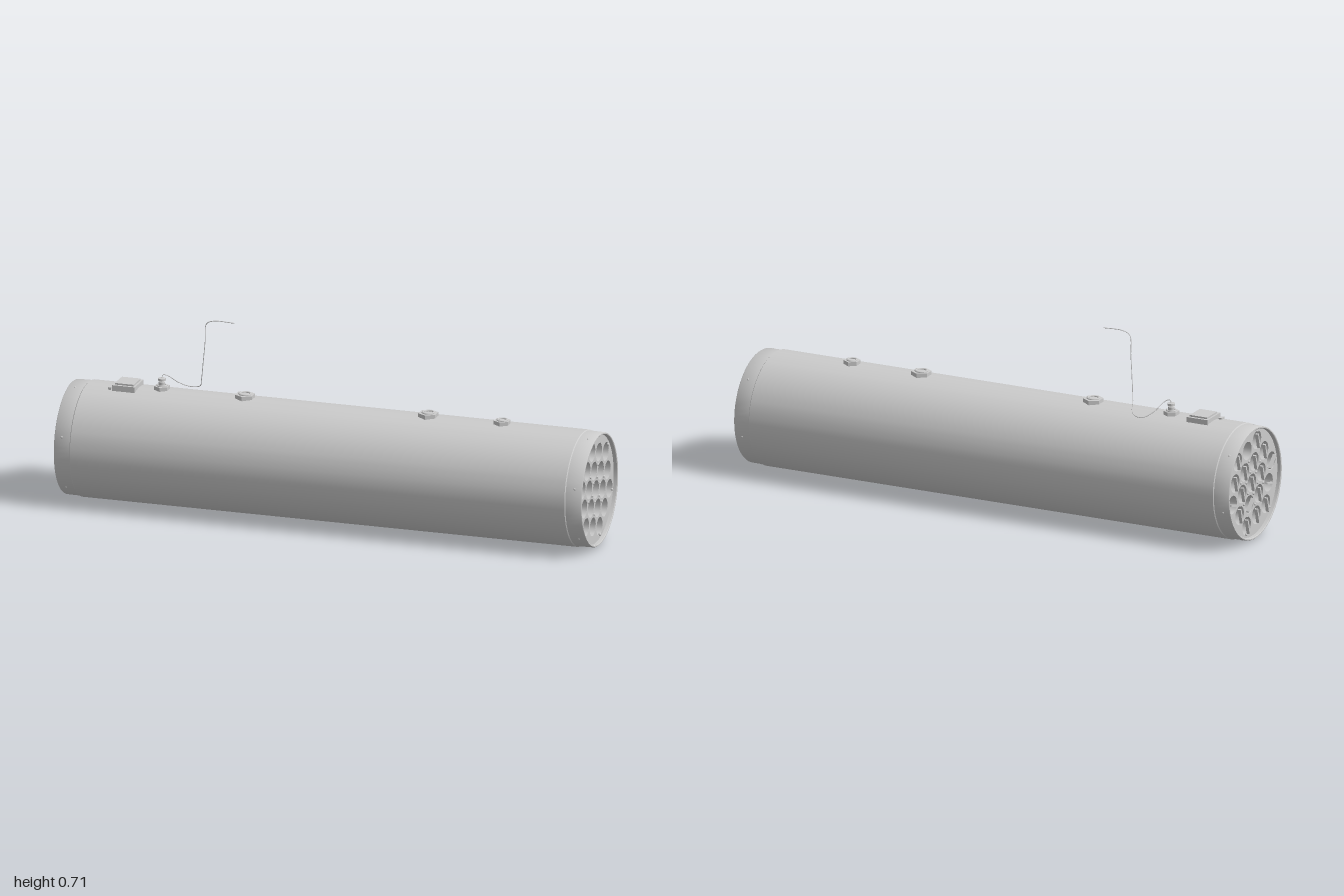
import * as THREE from 'three';
import { toCreasedNormals } from 'three/addons/utils/BufferGeometryUtils.js';

const R = 0.212, PITCH = 0.078, BORE = 0.034, TILT = -Math.PI / 12;

export function createModel() {
  const model = new THREE.Group();
  model.name = 'tubePod';
  const mat = new THREE.MeshStandardMaterial({ color: 0xcccccc, side: THREE.DoubleSide });
  const add = (parent, name, geo, x = 0, y = 0, z = 0) => {
    const m = new THREE.Mesh(geo, mat);
    m.name = name;
    m.position.set(x, y, z);
    parent.add(m);
    return m;
  };

  // Pod group: local z runs along the pod (world x), local x is world -z
  const pod = new THREE.Group();
  pod.name = 'pod';
  pod.rotation.y = Math.PI / 2;
  pod.position.y = R;
  model.add(pod);

  // Shell with a slightly narrower collar and a rolled-in rim at each end
  const half = [[0.2, 0.975], [0.2, 0.998], [0.202, 1], [0.206, 1], [0.208, 0.997], [0.209, 0.94], [R, 0.937]];
  const profile = [
    ...half.map(([r, l]) => new THREE.Vector2(r, -l)),
    ...half.slice().reverse().map(([r, l]) => new THREE.Vector2(r, l)),
  ];
  const shell = toCreasedNormals(new THREE.LatheGeometry(profile, 64), 0.6);
  shell.rotateX(Math.PI / 2);
  add(pod, 'shell', shell);

  // Hexagonal layout of nineteen bores
  const bores = [];
  for (let q = -2; q <= 2; q++) {
    for (let r = -2; r <= 2; r++) {
      if (Math.abs(q + r) > 2) continue;
      const p = new THREE.Vector2(PITCH * (q + r / 2), PITCH * r * Math.sqrt(3) / 2);
      bores.push({ q, r, p: p.rotateAround(new THREE.Vector2(), TILT) });
    }
  }

  // End plates pierced by the bores
  const plateShape = new THREE.Shape().absarc(0, 0, 0.202, 0, Math.PI * 2);
  for (const { p } of bores) {
    plateShape.holes.push(new THREE.Path().absarc(p.x, p.y, BORE, 0, Math.PI * 2, true));
  }
  const plate = new THREE.ExtrudeGeometry(plateShape, { depth: 0.012, bevelEnabled: false, curveSegments: 12 });
  add(pod, 'frontPlate', plate, 0, 0, 0.973);
  add(pod, 'rearPlate', plate, 0, 0, -0.985);

  // Open tubes and the contact arm behind each one
  const tube = new THREE.CylinderGeometry(BORE, BORE, 1.966, 12, 1, true);
  tube.rotateX(Math.PI / 2);
  const arm = new THREE.BoxGeometry(0.057, 0.007, 0.012);
  const armAngles = { '-2,0': -45, '1,-1': -45, '-1,-1': 15, '2,0': 15 };
  for (const { q, r, p } of bores) {
    add(pod, 'tube', tube, p.x, p.y, 0);
    if (q === -1 && r === 2) continue;
    const key = `${q},${r}`;
    const a = (key in armAngles ? armAngles[key] : 75) * Math.PI / 180;
    add(pod, 'contactArm', arm, p.x - 0.002, p.y - 0.003, -0.988).rotation.z = a;
  }

  // Rivets in the gaps between tubes and around the plate edge
  const rivet = new THREE.SphereGeometry(0.005, 8, 6);
  for (const side of [-1, 1]) {
    for (let i = 0; i < 6; i++) {
      const a = TILT + Math.PI / 6 + i * Math.PI / 3;
      add(pod, 'rivet', rivet, 0.045 * Math.cos(a), 0.045 * Math.sin(a), side * 0.985);
      add(pod, 'rivet', rivet, 0.09 * Math.cos(a), 0.09 * Math.sin(a), side * 0.985);
      const b = a + 0.5;
      add(pod, 'edgeRivet', rivet, 0.188 * Math.cos(b), 0.188 * Math.sin(b), side * 0.985);
      add(pod, 'collarScrew', rivet, 0.206 * Math.cos(b), 0.206 * Math.sin(b), side * 0.972);
    }
  }

  // Hexagonal lugs along the top
  const hexLug = (name, x, r) => {
    const g = new THREE.Group();
    g.name = name;
    g.position.set(x, 0.42, 0);
    const body = toCreasedNormals(new THREE.CylinderGeometry(r, r, 0.026, 6), 0.4);
    add(g, 'hexBase', body, 0, 0.004, 0);
    const ring = new THREE.TorusGeometry(r * 0.55, 0.004, 8, 20);
    ring.rotateX(Math.PI / 2);
    add(g, 'ring', ring, 0, 0.018, 0);
    model.add(g);
    return g;
  };
  hexLug('rearLug', -0.345, 0.037);
  hexLug('frontLug', 0.35, 0.037);
  hexLug('forwardFitting', 0.63, 0.031);

  // Cable connector: hex base with a turned post
  const connector = hexLug('cableConnector', -0.66, 0.029);
  const post = [[0, 0], [0.012, 0], [0.012, 0.032], [0.008, 0.034], [0.008, 0.036],
    [0.014, 0.037], [0.014, 0.045], [0.006, 0.047], [0, 0.047]].map(([r, y]) => new THREE.Vector2(r, y));
  add(connector, 'post', toCreasedNormals(new THREE.LatheGeometry(post, 16), 0.6));

  // Selector box with a raised cover
  const box = new THREE.Group();
  box.name = 'selectorBox';
  box.position.set(-0.787, 0.42, 0.005);
  model.add(box);
  add(box, 'boxBase', new THREE.BoxGeometry(0.085, 0.03, 0.1), 0, 0.003, 0);
  add(box, 'boxCover', new THREE.BoxGeometry(0.07, 0.012, 0.08), 0, 0.018, 0);
  add(box, 'boxLatch', new THREE.BoxGeometry(0.012, 0.018, 0.02), -0.055, -0.002, 0.035);

  // Thin cable looping off the connector and rising to its free end
  const cablePoints = [
    [-0.66, 0.46, 0], [-0.657, 0.478, -0.003], [-0.64, 0.472, -0.012], [-0.615, 0.44, -0.05],
    [-0.58, 0.42, -0.076], [-0.54, 0.427, -0.068], [-0.52, 0.465, -0.03], [-0.508, 0.53, -0.012],
    [-0.495, 0.62, 0.003], [-0.487, 0.69, 0.012], [-0.46, 0.704, 0.014], [-0.38, 0.704, 0.014],
  ].map((p) => new THREE.Vector3(...p));
  add(model, 'cable', new THREE.TubeGeometry(new THREE.CatmullRomCurve3(cablePoints), 80, 0.0015, 6));

  return model;
}
